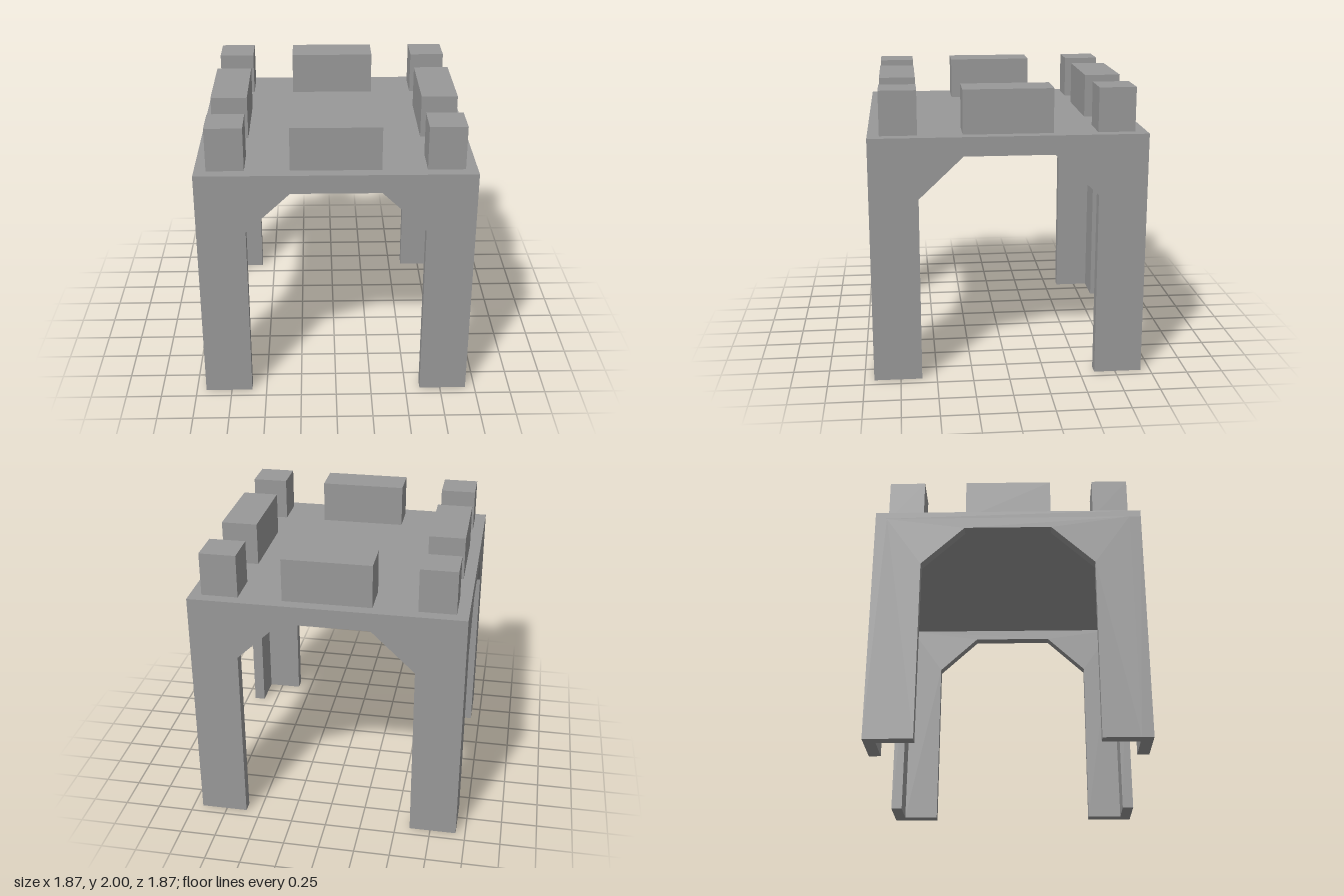
import * as THREE from 'three';

const HALF = 0.933;      // half width of the tower
const WALL = 0.08;       // wall thickness
const DECK_TOP = 1.7;
const DECK = 0.05;       // deck thickness
const INNER = 0.603;     // half width of the arch opening
const CROWN = 0.303;     // half width of the flat arch top

// Wall with a chamfered arch opening, extruded along +z
function archWall(half) {
  const top = DECK_TOP - DECK;
  const shape = new THREE.Shape([
    [-half, 0], [-INNER, 0], [-INNER, 1.285], [-CROWN, 1.57],
    [CROWN, 1.57], [INNER, 1.285], [INNER, 0], [half, 0],
    [half, top], [-half, top],
  ].map(([x, y]) => new THREE.Vector2(x, y)));
  return new THREE.ExtrudeGeometry(shape, { depth: WALL, bevelEnabled: false });
}

export function createModel() {
  const model = new THREE.Group();
  model.name = 'archedTower';
  const stone = new THREE.MeshStandardMaterial({ color: 0x999999 });
  stone.name = 'grey stone';

  const add = (name, geometry, parent = model) => {
    const mesh = new THREE.Mesh(geometry, stone);
    mesh.name = name;
    parent.add(mesh);
    return mesh;
  };

  // Four arched walls; the side walls fit between the front and back ones
  ['frontWall', 'leftWall', 'backWall', 'rightWall'].forEach((name, i) => {
    const side = new THREE.Group();
    side.name = name;
    side.rotation.y = i * Math.PI / 2;
    const wall = add(name + 'Arch', archWall(i % 2 ? HALF - WALL : HALF), side);
    wall.position.z = HALF - WALL;
    model.add(side);
  });

  // Deck
  const deck = add('deck', new THREE.BoxGeometry(HALF * 2, DECK, HALF * 2));
  deck.position.y = DECK_TOP - DECK / 2;

  // Battlements: square blocks at the corners, long blocks mid-side
  const outer = HALF - WALL;
  const depth = outer - INNER;
  const offset = (outer + INNER) / 2;
  const height = 2 - DECK_TOP;
  for (const i of [-1, 0, 1]) {
    for (const k of [-1, 0, 1]) {
      if (i === 0 && k === 0) continue;
      const block = add(i && k ? 'cornerBattlement' : 'sideBattlement',
        new THREE.BoxGeometry(i ? depth : CROWN * 2, height, k ? depth : CROWN * 2));
      block.position.set(i * offset, DECK_TOP + height / 2, k * offset);
    }
  }
  return model;
}
